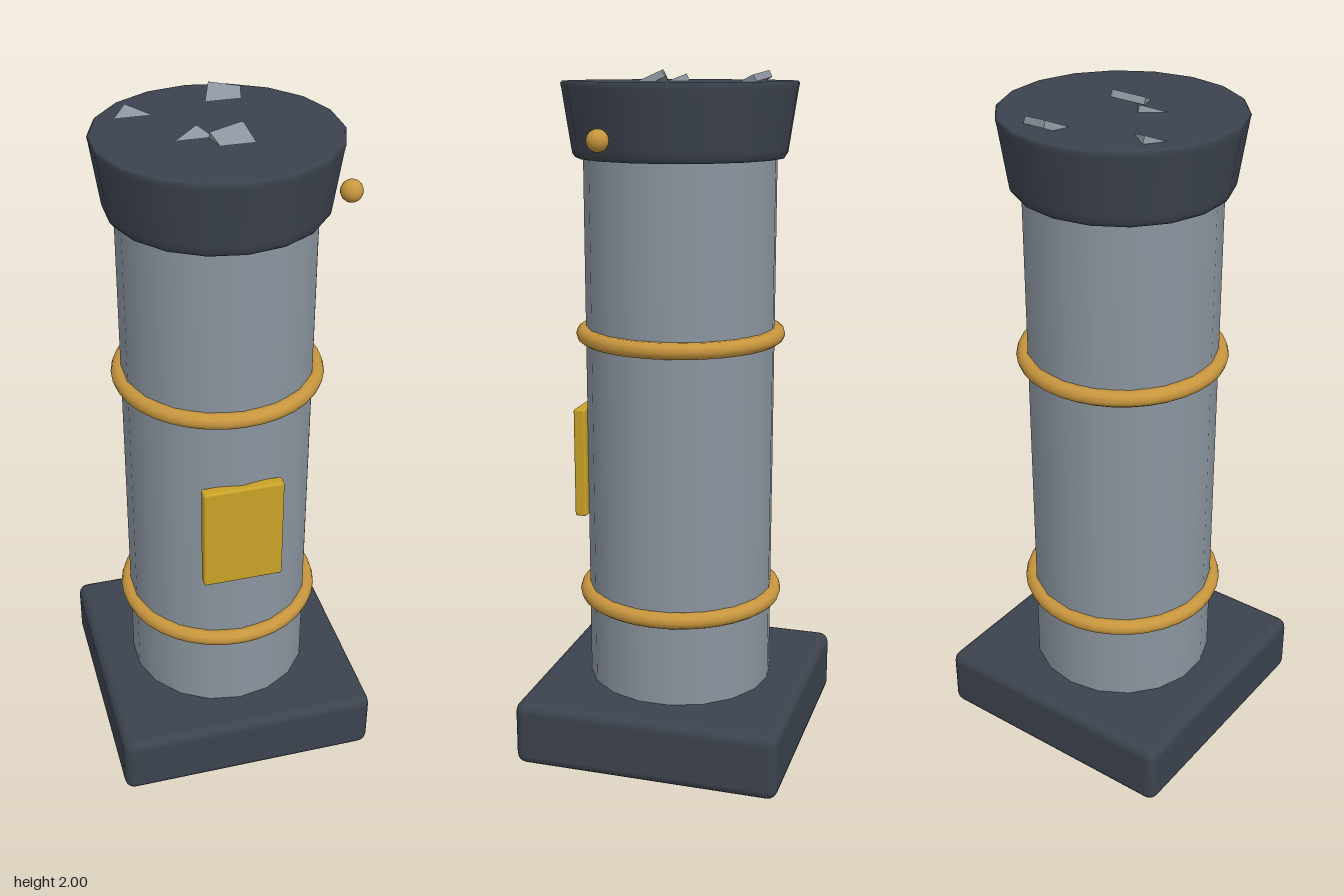
import * as THREE from 'three';
import { RoundedBoxGeometry } from 'three/addons/geometries/RoundedBoxGeometry.js';

const material = (name, color, side = THREE.FrontSide) => {
  const m = new THREE.MeshStandardMaterial({ color, side });
  m.name = name;
  return m;
};

export function createModel() {
  const group = new THREE.Group();
  const dark = material('dark slate', 0x3c434e);
  const grey = material('grey stone', 0x8b959f);
  const bronze = material('bronze', 0xc8963e);
  const gold = material('gold plate', 0xc9a227);

  const add = (name, geometry, mat, x = 0, y = 0, z = 0) => {
    const mesh = new THREE.Mesh(geometry, mat);
    mesh.name = name;
    mesh.position.set(x, y, z);
    group.add(mesh);
    return mesh;
  };

  // Square foot with softened edges
  add('base', new RoundedBoxGeometry(0.79, 0.195, 0.79, 2, 0.03), dark, 0, 0.1025, 0);

  // Eighteen-sided shaft, smooth shaded
  add('shaft', new THREE.CylinderGeometry(0.276, 0.276, 1.62, 18), grey, 0, 0.98, 0);

  // Flared cap with small bevels
  const capProfile = [
    [0, 1.76], [0.285, 1.76], [0.298, 1.761], [0.306, 1.772],
    [0.309, 1.79], [0.333, 1.95], [0.336, 1.964], [0.331, 1.97], [0.32, 1.97], [0, 1.97],
  ].map(([r, y]) => new THREE.Vector2(r, y));
  add('cap', new THREE.LatheGeometry(capProfile, 18), dark);

  // Bands around the shaft
  for (const y of [0.467, 1.257]) {
    const ring = new THREE.TorusGeometry(0.281, 0.024, 10, 36);
    ring.rotateX(Math.PI / 2);
    add('band', ring, bronze, 0, y, 0);
  }

  // Front plaque and the stud on the cap
  add('plaque', new RoundedBoxGeometry(0.236, 0.33, 0.036, 2, 0.007), gold, 0, 0.865, 0.278);
  add('stud', new THREE.SphereGeometry(0.031, 16, 12), bronze, 0.328, 1.82, 0.13);

  // Broken shards lying tilted in the cap: outline is [x, distance back from the front edge]
  const tilt = 0.43;
  const thickness = 0.02;
  const shards = [
    { z: 0.1, outline: [[-0.02, 0], [0.075, 0], [0.06, 0.064], [0.052, 0.066], [-0.035, 0.044]] },
    { z: 0.04, outline: [[-0.12, 0], [-0.02, 0], [-0.055, 0.041]] },
    { z: -0.145, outline: [[-0.24, 0], [-0.14, 0], [-0.203, 0.043]] },
    { z: -0.2, outline: [[0.02, 0], [0.12, 0], [0.13, 0.04], [0.045, 0.064]] },
  ];
  for (const { z, outline } of shards) {
    const shape = new THREE.Shape(
      outline.map(([x, back]) => new THREE.Vector2(x, back / Math.cos(tilt))));
    const geometry = new THREE.ExtrudeGeometry(shape, { depth: thickness, bevelEnabled: false });
    geometry.translate(0, 0, -thickness);
    geometry.rotateX(tilt - Math.PI / 2);
    add('shard', geometry, grey, 0, 1.97, z);
  }
  return group;
}
